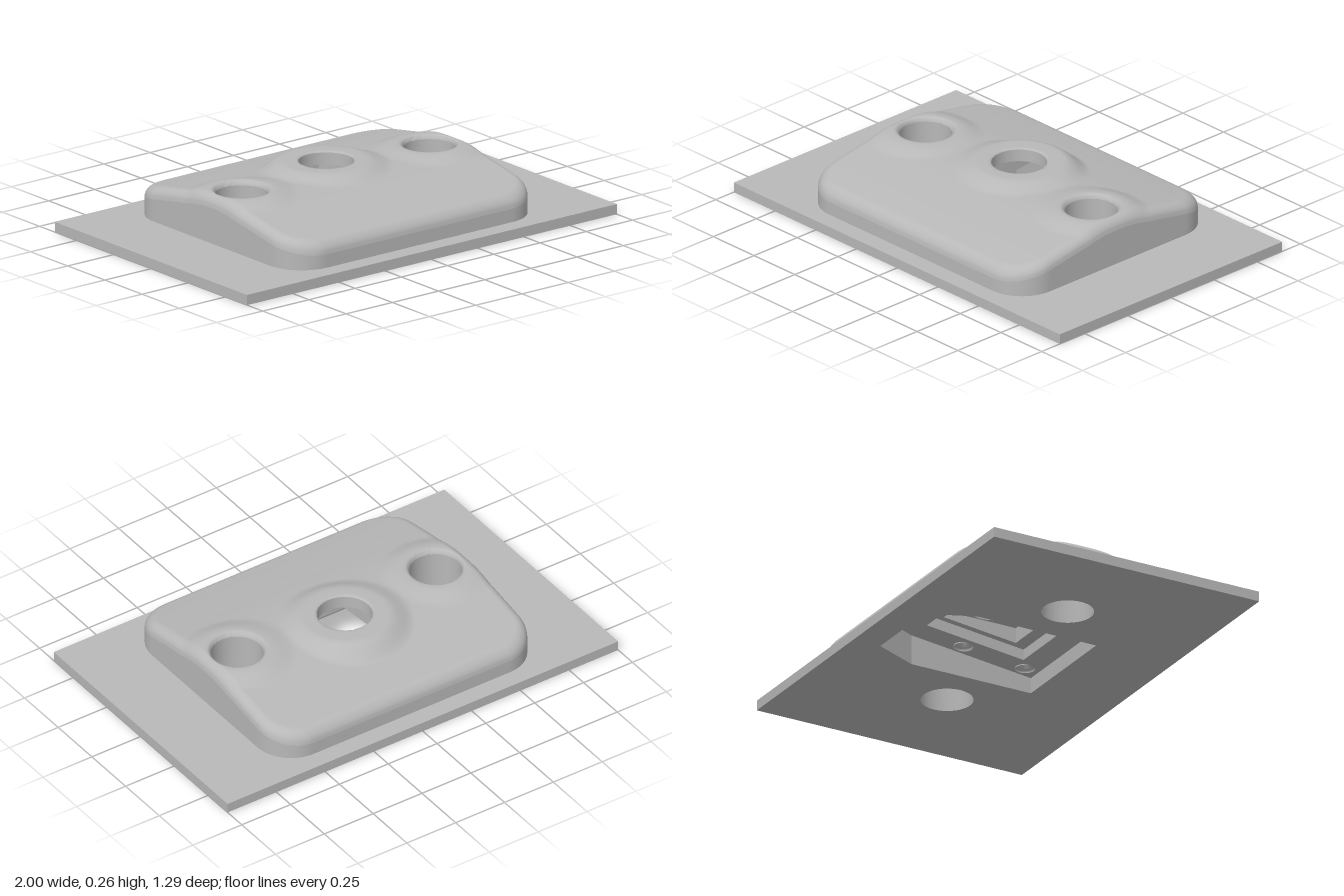
import * as THREE from 'three';

const W = 0.672, D = 0.563, CORNER = 0.17, FILLET = 0.05;
const holes = [
  { x: 0, z: -0.065, r: 0.118, lip: 0.006 },
  { x: 0.508, z: -0.003, r: 0.112, lip: 0.02 },
  { x: -0.508, z: -0.003, r: 0.112, lip: 0.02 },
];
const smooth = (a, b, v) => THREE.MathUtils.smoothstep(v, a, b);

// Crowned cross-section of the cover, from the ridge out to the front and back
const profile = [[0, 0.24], [0.1, 0.237], [0.2, 0.226], [0.3, 0.209], [0.4, 0.191], [0.5, 0.17], [0.6, 0.147]];
const crown = new THREE.SplineCurve(profile.map(p => new THREE.Vector2(...p)));
const crownAt = z => crown.getPoint(Math.min(1, Math.abs(z) / 0.6)).y;

// Nearest point on, and depth inside, the rounded rectangle outline
function outline(x, z) {
  const cx = W - CORNER, cz = D - CORNER;
  const qx = Math.abs(x) - cx, qz = Math.abs(z) - cz;
  const len = Math.hypot(Math.max(qx, 0), Math.max(qz, 0));
  const depth = CORNER - len - Math.min(Math.max(qx, qz), 0);
  if (depth >= 0) return { x, z, depth };
  const k = CORNER / len;
  return {
    x: Math.sign(x) * (qx > 0 ? cx + qx * k : Math.abs(x)),
    z: Math.sign(z) * (qz > 0 ? cz + qz * k : Math.abs(z)),
    depth: 0,
  };
}

const roundDrop = (d, r) => (d >= r ? 0 : r - Math.sqrt(Math.max(0, r * r - (r - d) ** 2)));

// Height of the cover: crown, raised bosses round the holes, rounded edges
function height(x, z) {
  let y = crownAt(z);
  const side = Math.hypot(Math.abs(x) - 0.508, z + 0.003);
  y += (0.253 - y) * (1 - smooth(0.135, 0.25, side));
  const mid = Math.hypot(x, z + 0.075);
  y += (0.265 - y) * (1 - smooth(0.18, 0.29, mid));
  let drop = roundDrop(outline(x, z).depth, FILLET);
  for (const h of holes) {
    drop = Math.max(drop, roundDrop(Math.max(0, Math.hypot(x - h.x, z - h.z) - h.r), h.lip));
  }
  return y - drop;
}

function meshFrom(position, index) {
  const g = new THREE.BufferGeometry();
  g.setAttribute('position', new THREE.Float32BufferAttribute(position, 3));
  g.setIndex(index);
  return g;
}

// Grid surface, its border snapped to the outline and to the hole rims
function coverTop() {
  const NX = 190, NZ = 170, pos = [], idx = [], out = [];
  for (let j = 0; j <= NZ; j++) {
    for (let i = 0; i <= NX; i++) {
      const s = 2 * i / NX - 1, t = 2 * j / NZ - 1;
      const gx = W * (0.4 * s + 0.6 * Math.sin(s * Math.PI / 2));
      const gz = D * (0.4 * t + 0.6 * Math.sin(t * Math.PI / 2));
      let { x, z, depth } = outline(gx, gz), skip = depth === 0 ? 1 : 0;
      holes.forEach((h, n) => {
        const r = Math.hypot(x - h.x, z - h.z);
        if (r < h.r) {
          const k = h.r / Math.max(r, 1e-5);
          x = h.x + (x - h.x) * k;
          z = h.z + (z - h.z) * k;
          skip = n + 2;
        }
      });
      pos.push(x, height(x, z), z);
      out.push(skip);
    }
  }
  for (let j = 0; j < NZ; j++) {
    for (let i = 0; i < NX; i++) {
      const a = j * (NX + 1) + i, b = a + 1, c = a + NX + 1, d = c + 1;
      const edge = i === 0 || j === 0 || i === NX - 1 || j === NZ - 1;
      if (!edge && out[a] && out[b] && out[c] && out[d]) continue;
      idx.push(a, c, b, b, c, d);
    }
  }
  const g = meshFrom(pos, idx);
  g.computeVertexNormals();
  return g;
}

// Closed wall through [x, z] points between two height rules
function wall(points, low, high, flat) {
  const pos = [], idx = [], n = points.length;
  points.forEach(([x, z], i) => {
    pos.push(x, low(x, z), z, x, high(x, z), z);
    const a = 2 * i, b = 2 * ((i + 1) % n);
    idx.push(a, a + 1, b, b, a + 1, b + 1);
  });
  let g = meshFrom(pos, idx);
  if (flat) g = g.toNonIndexed();
  g.computeVertexNormals();
  return g;
}

function circle(x, z, r, n = 48) {
  return Array.from({ length: n }, (_, i) => {
    const a = i / n * Math.PI * 2;
    return [x + r * Math.cos(a), z - r * Math.sin(a)];
  });
}

const toPath = pts => pts.map(([x, z]) => new THREE.Vector2(x, -z));
function shapeOf(pts, cuts) {
  const s = new THREE.Shape(toPath(pts));
  cuts.forEach(c => s.holes.push(new THREE.Path(toPath(c))));
  return s;
}

// Ceiling of a recess level, following a height rule
function ceiling(pts, cuts, rule) {
  const g = new THREE.ShapeGeometry(shapeOf(pts, cuts)).rotateX(-Math.PI / 2);
  const p = g.attributes.position;
  for (let i = 0; i < p.count; i++) p.setY(i, rule(p.getX(i), p.getZ(i)));
  const flat = g.toNonIndexed();
  flat.computeVertexNormals();
  flat.scale(1, 1, 1);
  return flat;
}

const rect = (w, z0, z1) => [[-w, z0], [w, z0], [w, z1], [-w, z1]];

export function createModel() {
  const model = new THREE.Group();
  const grey = new THREE.MeshStandardMaterial({ color: 0xb8b8b8, side: THREE.DoubleSide });
  grey.name = 'plain grey';
  const add = (name, geometry) => {
    const m = new THREE.Mesh(geometry, grey);
    m.name = name;
    model.add(m);
    return m;
  };

  // Base plate with two round holes and the recess opening
  const opening = [[-0.275, 0.27], [0.275, 0.27], [0.275, -0.31], [0.185, -0.515], [-0.185, -0.515], [-0.275, -0.31]];
  const [midHole, ...sideHoles] = holes;
  const cuts = [opening, ...sideHoles.map(h => circle(h.x, h.z, h.r))];
  add('basePlate', new THREE.ExtrudeGeometry(shapeOf(rect(1, -0.645, 0.645), cuts),
    { depth: 0.045, bevelEnabled: false }).rotateX(-Math.PI / 2));

  // Cover: domed top and upright rounded side wall
  add('coverTop', coverTop());
  const rim = [];
  [[1, 1], [-1, 1], [-1, -1], [1, -1]].forEach(([sx, sz], q) => {
    for (let i = 0; i <= 16; i++) {
      const a = (q + i / 16) * Math.PI / 2;
      rim.push([sx * (W - CORNER) + CORNER * Math.cos(a), sz * (D - CORNER) + CORNER * Math.sin(a)]);
    }
    // straight runs are subdivided so the wall follows the crown
    const [x0, z0] = rim[rim.length - 1];
    for (let i = 1; i < 40; i++) {
      const t = 1 - 2 * i / 40;
      rim.push(q % 2 === 0 ? [x0 * t, z0] : [x0, z0 * t]);
    }
  });
  add('coverSide', wall(rim, () => 0.04, height, false));

  // Round hole linings
  sideHoles.forEach(h => add('sideHoleLining', wall(circle(h.x, h.z, h.r, 64), () => 0.02, height, false)));
  add('centreHoleLining', wall(circle(midHole.x, midHole.z, midHole.r, 64), () => 0.205, height, false));

  // Stepped recess underneath, narrowing up to the centre hole
  const ledge1 = (x, z) => Math.min(0.1 - 0.11 * z, 0.134);
  const ledge2 = (x, z) => 0.148 - 0.11 * z;
  const roof = () => 0.205;
  const step1 = rect(0.155, -0.31, 0.165), step2 = rect(0.125, -0.24, 0.11);
  const screws = [];
  for (const x of [-0.22, 0.22]) for (const z of [0.21, -0.09]) screws.push([x, z]);
  add('recessWall', wall(opening, () => 0, ledge1, true));
  // the rear bay is a separate panel, as the ledge levels out there
  add('recessLedge', ceiling(opening.slice(0, 3).concat([opening[5]]),
    [step1.map(([x, z]) => [x, Math.max(z, -0.305)]), ...screws.map(s => circle(...s, 0.042, 24))], ledge1));
  add('rearBayCeiling', ceiling(opening.slice(2), [], ledge1));
  add('middleStepWall', wall(step1, ledge1, ledge2, true));
  add('middleStepLedge', ceiling(step1, [step2], ledge2));
  add('upperStepWall', wall(step2, ledge2, roof, true));
  add('upperStepCeiling', ceiling(step2, [circle(midHole.x, midHole.z, midHole.r, 64)], roof));

  // Screw sockets in the ledge: a shallow cup with a narrow bore
  for (const [x, z] of screws) {
    const cup = new THREE.LatheGeometry([[0.042, 0], [0.042, 0.012], [0.018, 0.014], [0.018, 0.05], [0, 0.05]]
      .map(p => new THREE.Vector2(...p)), 24);
    add('screwSocket', cup).position.set(x, ledge1(x, z), z);
  }
  return model;
}
